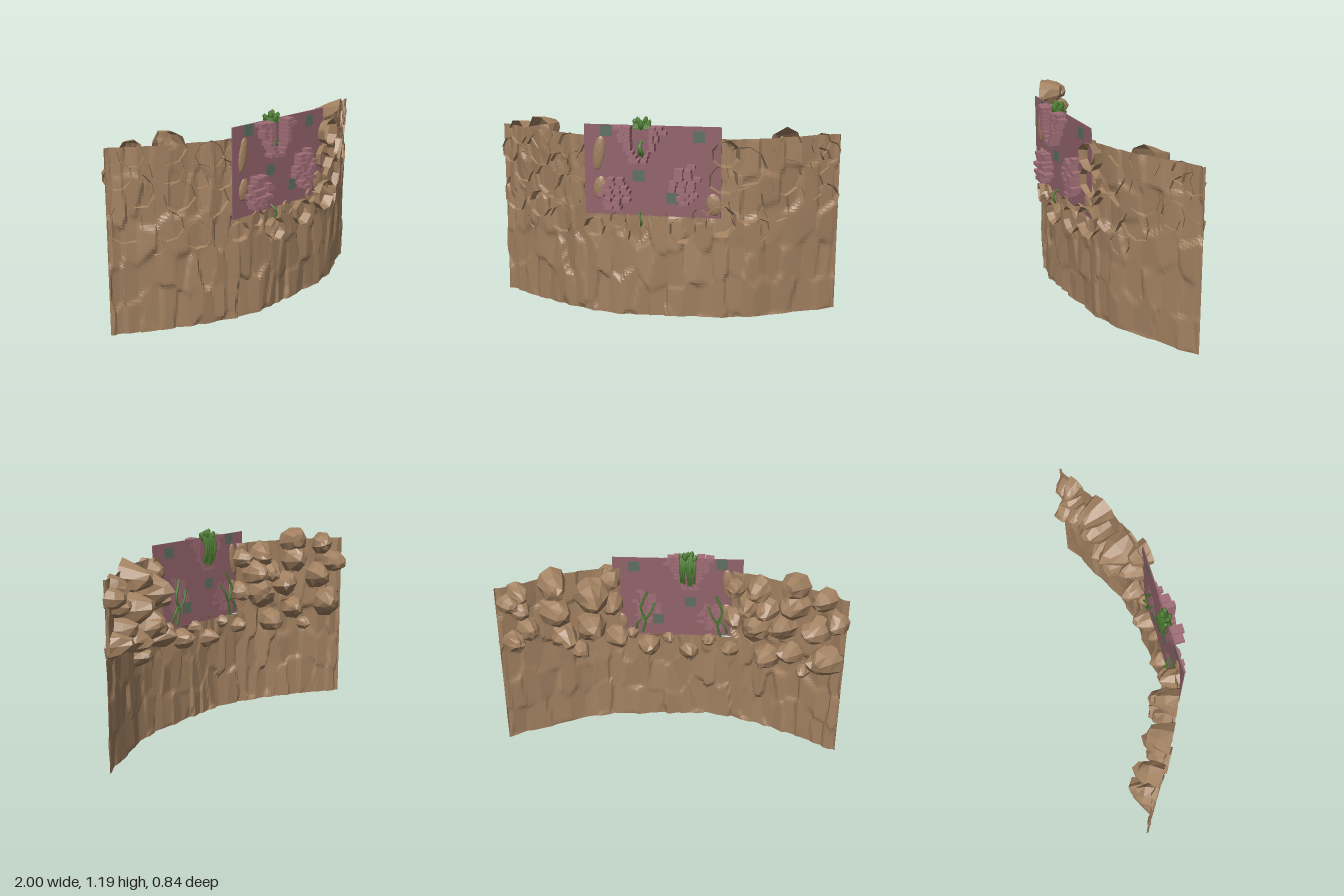
import * as THREE from 'three';

const mat = (name, color) => new THREE.MeshStandardMaterial({ name, color, side: THREE.DoubleSide });
const rockMat = mat('brown rock', 0xa28161);
const wallMat = mat('dusky wall', 0x92636b);
const brickMat = mat('rose brick', 0xa06d76);
const plateMat = mat('grey green stone', 0x5f6f60);
const vineMat = mat('vine green', 0x4f8035);

// Repeatable noise
const hash = (a, b, c = 0) => {
  const s = Math.sin(a * 127.1 + b * 311.7 + c * 74.7) * 43758.5453;
  return s - Math.floor(s);
};

function flat(geo) {
  const g = geo.index ? geo.toNonIndexed() : geo;
  g.computeVertexNormals();
  return g;
}

function add(parent, name, geo, material) {
  const m = new THREE.Mesh(geo, material);
  m.name = name;
  parent.add(m);
  return m;
}

// Plan of the cliff: a bowed line seen from above (x, z)
const plan = new THREE.SplineCurve(
  [[-0.99, 0.235], [-0.6, 0.33], [-0.2, 0.352], [0.2, 0.228], [0.6, 0.035], [0.99, -0.375]].map(p => new THREE.Vector2(...p)));

function planAt(x) {
  const t = THREE.MathUtils.clamp((x + 1) / 2, 0, 1);
  const p = plan.getPoint(t), d = plan.getTangent(t);
  return { x: p.x, z: p.y, nx: -d.y, nz: d.x };
}

// Upright, staggered facets: tilted planes with bevelled joins
function relief(x, y) {
  let sum = 0, total = 0;
  const W = 0.08, H = 0.22, ci = Math.floor(x / W), cj = Math.floor(y / H);
  for (let i = ci - 1; i <= ci + 1; i++) for (let j = cj - 1; j <= cj + 1; j++) {
    const dx = x - (i + 0.2 + 0.6 * hash(i, j)) * W;
    const dy = y - (j + 0.2 + 0.6 * hash(i, j, 5)) * H;
    const w = Math.exp(-16 * ((dx / W) ** 2 + (dy / H) ** 2));
    const d = (hash(i, j, 2) - 0.5) * 0.018 + dx * (hash(i, j, 3) - 0.5) * 0.6 + dy * (hash(i, j, 4) - 0.5) * 0.14;
    sum += w * d;
    total += w;
  }
  return THREE.MathUtils.clamp(sum / total, -0.016, 0.016);
}

function cliffGeometry() {
  const nx = 140, ny = 70, height = 1.07, pos = [], idx = [];
  for (let j = 0; j <= ny; j++) for (let i = 0; i <= nx; i++) {
    const x = -1 + 2 * i / nx, y = height * j / ny, p = planAt(x);
    const d = i === 0 || i === nx ? 0 : relief(x, y);
    pos.push(p.x + p.nx * d, y, p.z + p.nz * d);
    // leave a gap for the wall
    if (i < nx && j < ny && !(y > 0.6 && x > -0.25 && x < 0.41)) {
      const a = j * (nx + 1) + i, b = a + nx + 1;
      idx.push(a, a + 1, b, a + 1, b + 1, b);
    }
  }
  const g = new THREE.BufferGeometry();
  g.setAttribute('position', new THREE.Float32BufferAttribute(pos, 3));
  g.setIndex(idx);
  return flat(g);
}

// Rugged open dome, rim at the origin, blunt spike toward +y
function boulderGeometry(r, seed) {
  const g = new THREE.SphereGeometry(1, 8, 3, 0, Math.PI * 2, 0, Math.PI / 2);
  const p = g.attributes.position, v = new THREE.Vector3();
  const tx = (hash(seed, 1) - 0.5) * 0.6, tz = (hash(seed, 2) - 0.5) * 0.6;
  const depth = 1.45 + 0.5 * hash(seed, 3);
  for (let i = 0; i < p.count; i++) {
    v.fromBufferAttribute(p, i);
    const taper = 1 - 0.15 * v.y;
    const k = 0.86 + 0.2 * hash(Math.round(v.x * 50) + seed, Math.round(v.y * 50), Math.round(v.z * 50));
    v.multiplyScalar(k * r);
    p.setXYZ(i, v.x * taper + v.y * tx, v.y * depth, v.z * taper + v.y * tz);
  }
  return flat(g);
}

// Boulders: x, y, radius, and how far the rim stands out in front
const rocks = [
  [-0.91, 0.91, 0.085], [-0.83, 1.03, 0.08], [-0.8, 0.82, 0.1], [-0.66, 0.95, 0.11], [-0.65, 1.06, 0.1],
  [-0.87, 0.64, 0.11], [-0.6, 0.78, 0.095], [-0.5, 0.54, 0.09], [-0.66, 0.61, 0.09, 0.025], [-0.42, 0.99, 0.085],
  [-0.42, 0.73, 0.11], [-0.36, 0.88, 0.09], [-0.25, 0.53, 0.065, 0.03], [-0.72, 0.5, 0.05], [-0.49, 0.88, 0.08],
  [-0.27, 0.97, 0.07], [-0.26, 0.76, 0.07], [-0.11, 0.58, 0.05],
  [0.02, 0.49, 0.075, 0.04], [0.25, 0.54, 0.085, 0.045], [0.45, 0.6, 0.1, 0.06], [0.57, 0.92, 0.125, 0.03],
  [0.58, 0.69, 0.11, 0.03], [0.47, 0.99, 0.085, 0.065], [0.46, 0.84, 0.09, 0.05], [0.74, 1.03, 0.1], [0.74, 0.84, 0.11],
  [0.88, 0.92, 0.08], [0.88, 1.02, 0.07], [0.71, 0.66, 0.09], [0.92, 0.7, 0.08], [0.93, 0.97, 0.07],
  [0.85, 0.77, 0.08], [0.64, 0.53, 0.07], [0.14, 0.59, 0.045], [0.34, 0.62, 0.05, 0.03]];

function vine(parent, points, radius) {
  const c = new THREE.CatmullRomCurve3(points.map(p => new THREE.Vector3(...p)));
  add(parent, 'vine', new THREE.TubeGeometry(c, 8, radius, 5), vineMat);
}

function box(parent, name, w, h, d, x, y, z, material) {
  add(parent, name, new THREE.BoxGeometry(w, h, d), material).position.set(x, y, z);
}

export function createModel() {
  const model = new THREE.Group();
  add(model, 'cliff', cliffGeometry(), rockMat);

  // Boulders swell out behind the cliff, their rims just showing in front
  const boulders = new THREE.Group();
  boulders.name = 'boulders';
  model.add(boulders);
  rocks.forEach(([x, y, r, out = 0.012], i) => {
    const p = planAt(x);
    const m = add(boulders, 'boulder', boulderGeometry(r, i + 1), rockMat);
    m.position.set(p.x + p.nx * out, y, p.z + p.nz * out);
    m.quaternion.setFromUnitVectors(new THREE.Vector3(0, 1, 0), new THREE.Vector3(-p.nx, 0, -p.nz).normalize());
  });

  // Brick wall: a thin straight panel set across the gap
  const wall = new THREE.Group();
  wall.name = 'brickWall';
  wall.position.set(0.08, 0, 0.265);
  wall.rotation.y = 0.318;
  model.add(wall);
  box(wall, 'wallPanel', 0.8, 0.53, 0.006, 0, 0.875, 0, wallMat);

  // Rock showing through the sides of the wall
  for (const [x, y, w, h] of [[-0.315, 0.97, 0.036, 0.11], [-0.31, 0.77, 0.04, 0.07], [0.36, 0.69, 0.045, 0.07]]) {
    const m = add(wall, 'rockShoulder', flat(new THREE.IcosahedronGeometry(1, 1)), rockMat);
    m.scale.set(w, h, 0.018);
    m.position.set(x, y, 0);
    m.rotation.z = 0.15 * Math.sign(x);
  }

  // Weathered square stones showing on both faces
  for (const [x, y] of [[-0.27, 1.105], [0.27, 1.08], [-0.08, 0.845], [0.12, 0.72]])
    box(wall, 'squareStone', 0.07, 0.065, 0.009, x, y, 0, plateMat);

  // Broken bricks stepping around the upper breach
  const rowH = 0.0235;
  const brick = (w, d, x, y) => box(wall, 'brick', w, rowH - 0.002, d, x, y, d / 2 - 0.004, brickMat);
  for (let k = 0; k < 9; k++) for (const s of [-1, 1]) {
    const inner = k < 6 ? 0.052 : 0.052 - (k - 5) * 0.016;
    const outer = 0.17 - k * 0.011 - 0.05 * hash(k, s);
    const n = outer - inner > 0.05 ? 2 : 1, w = (outer - inner) / n;
    for (let b = 0; b < n; b++)
      brick(w - 0.004, 0.078 - 0.015 * b, -0.062 + s * (inner + w * (b + 0.5)), 1.127 - k * rowH);
  }

  // Broken bricks around the two lower breaches: centre x, base y, rows, lean
  for (const [cx, y0, rows, lean] of [[-0.24, 0.66, 8, 0.007], [0.2, 0.7, 10, 0]])
    for (let k = 0; k < rows; k++) {
      const n = 1 + Math.round(2 * Math.sin(Math.PI * (k + 0.7) / (rows + 0.5)));
      for (let b = 0; b < n; b++)
        brick(0.034 + 0.02 * hash(k, b, cx), 0.05 + 0.03 * hash(b, k, cx),
          cx + k * lean + (b - (n - 1) / 2) * 0.054 + (hash(k, 7, cx) - 0.5) * 0.06, y0 + k * rowH);
    }

  // Vine bundle climbing over the top and hanging behind
  const vines = new THREE.Group();
  vines.name = 'vines';
  wall.add(vines);
  for (let i = 0; i < 9; i++) {
    const x = -0.105 + i * 0.0105, h = hash(i, 3);
    vine(vines, [[x, 1.12, 0.014], [x + 0.004, 1.15 + 0.02 * h, -0.004], [x, 1.12, -0.03],
      [x + (h - 0.5) * 0.03, 1.05, -0.038], [x + (h - 0.5) * 0.05, 0.96 + 0.06 * h, -0.015]], 0.0095);
  }
  // Leafy tuft on top and sprigs in front
  for (let i = 0; i < 5; i++) {
    const leaf = add(vines, 'leaf', new THREE.SphereGeometry(1, 6, 4), vineMat);
    leaf.scale.set(0.016, 0.032, 0.016);
    leaf.position.set(-0.1 + i * 0.019, 1.145 + 0.014 * (i % 2), (i % 3 - 1) * 0.02);
    leaf.rotation.z = (2 - i) * 0.2;
  }
  vine(vines, [[-0.06, 1.05, -0.01], [-0.07, 1.02, 0.024], [-0.06, 0.99, 0.026], [-0.05, 0.96, 0.005]], 0.012);
  vine(vines, [[-0.09, 1.01, -0.01], [-0.075, 0.99, 0.02], [-0.07, 0.965, 0.005]], 0.009);
  vine(vines, [[-0.075, 0.64, -0.01], [-0.07, 0.61, 0.03], [-0.06, 0.58, 0.035], [-0.065, 0.55, 0.02]], 0.007);

  // Forked vines behind the lower breaches
  for (const [x, y, s] of [[0.2, 0.74, 1], [-0.25, 0.72, -1]]) {
    vine(vines, [[x + s * 0.02, y - 0.11, -0.012], [x, y - 0.02, -0.02], [x + s * 0.03, y + 0.06, -0.022], [x - s * 0.01, y + 0.17, -0.01]], 0.008);
    vine(vines, [[x, y - 0.02, -0.02], [x - s * 0.04, y + 0.05, -0.025], [x - s * 0.06, y + 0.1, -0.01]], 0.007);
    vine(vines, [[x + s * 0.01, y + 0.01, -0.02], [x + s * 0.05, y - 0.04, -0.025], [x + s * 0.06, y - 0.09, -0.01]], 0.007);
  }
  return model;
}
